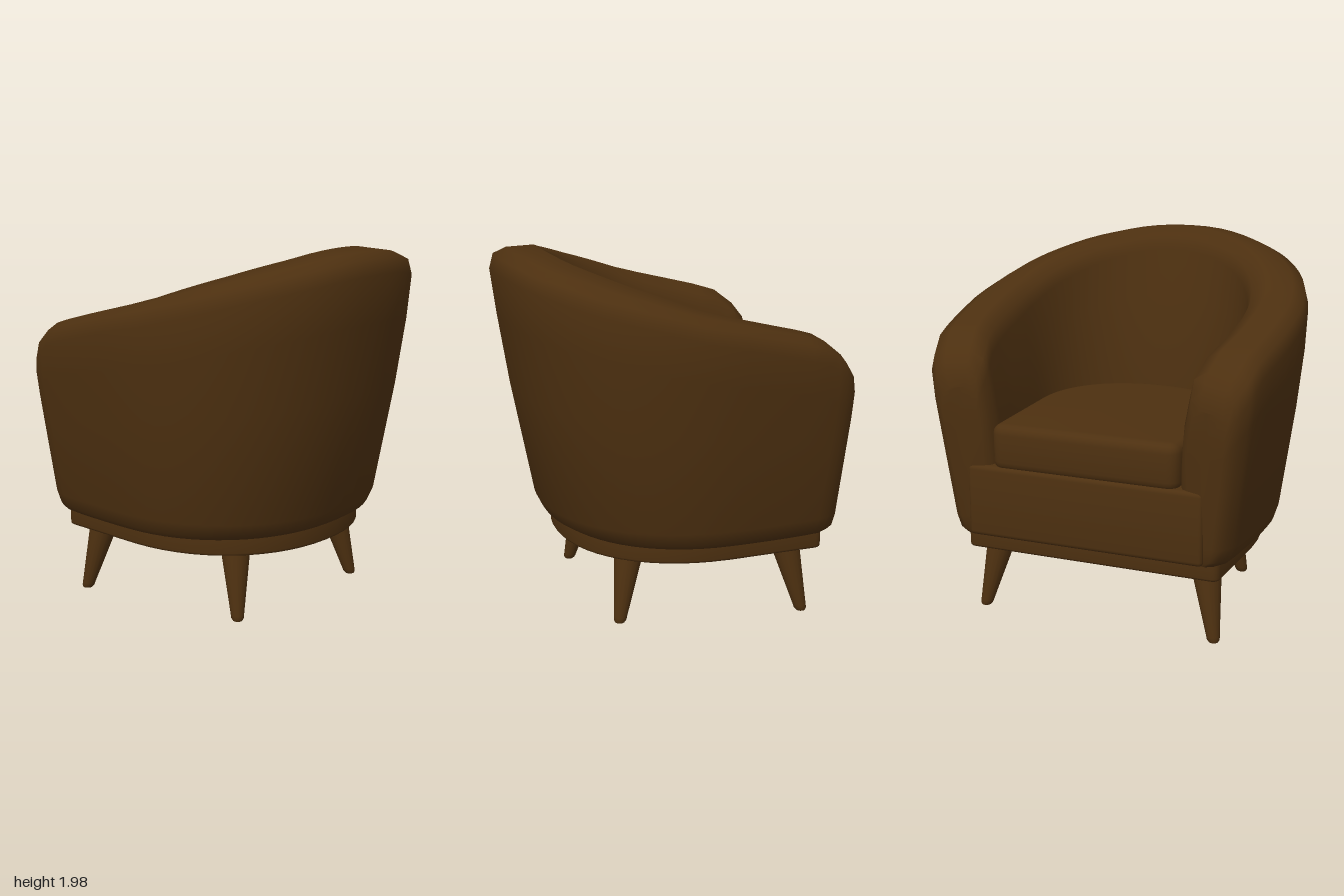
import * as THREE from 'three';
import { toCreasedNormals } from 'three/addons/utils/BufferGeometryUtils.js';

const XC = -0.2; // where the straight arms turn into the curved back
const lerp = THREE.MathUtils.lerp;

// Linear interpolation in a small table of [key, value] pairs
function interp(table, k) {
  if (k <= table[0][0]) return table[0][1];
  for (let i = 1; i < table.length; i++) {
    const [k0, v0] = table[i - 1], [k1, v1] = table[i];
    if (k <= k1) return lerp(v0, v1, (k - k0) / (k1 - k0));
  }
  return table[table.length - 1][1];
}

// Point on the rounded back: a slightly squared half ellipse, a = 0 at the side, PI/2 at the rear
function backPoint(a, xBack, halfWidth) {
  const p = 2 / 2.2;
  return [XC + (xBack - XC) * Math.sin(a) ** p, halfWidth * Math.max(0, Math.cos(a)) ** p];
}

// How the shell's plan changes with height
const OUT_BACK = [[0.47, 0.56], [0.5, 0.61], [0.57, 0.645], [1.37, 0.8], [1.88, 0.87]];
const OUT_HALF = [[0.47, 0.78], [0.5, 0.81], [0.57, 0.832], [1.25, 0.925], [1.55, 0.948]];
const IN_BACK = [[1.05, 0.34], [1.88, 0.53]];
const IN_HALF = [[1.05, 0.54], [1.5, 0.63]];
const FRONT = [[0.47, -0.8], [0.5, -0.815], [0.57, -0.825], [1.2, -0.872]];
const CREST = [[-0.85, 1.54], [-0.6, 1.585], [0, 1.735], [0.4, 1.865], [0.6, 1.94], [0.71, 2]];
// Rounding of the arm ends by distance from the front
const DROP = [[0, 0.24], [0.02, 0.15], [0.09, 0.075], [0.2, 0.01], [0.3, 0]];
const INSET = [[0, 0.075], [0.02, 0.04], [0.09, 0.004], [0.2, 0]];
const CROWN = [[0.06, -0.045], [0.26, -0.012], [0.7, 0], [0.94, -0.045]];

// Plan position of one wall of the shell at a station
function wallPoint(st, y, inner) {
  const xBack = interp(inner ? IN_BACK : OUT_BACK, y);
  const half = interp(inner ? IN_HALF : OUT_HALF, y);
  if (st.a !== undefined) return backPoint(st.a, xBack, half);
  const x = interp(FRONT, y) + (inner ? 0.03 * (1 - st.d / 0.66) : 0) + st.d;
  const k = Math.max(0, (XC - x) / 0.65);
  const inset = interp(INSET, st.d) * (inner ? 1 : -1);
  return [Math.min(x, XC), half * (1 - (inner ? 0.09 : 0.06) * k * k) + inset];
}

// Closed cross-section of the shell: up the outside, over the crown, down the inside
function section(st) {
  const mid = (wallPoint(st, 1.6, false)[0] + wallPoint(st, 1.6, true)[0]) / 2;
  const top = interp(CREST, mid + (st.a ? 0.03 * Math.sin(st.a) : 0)) -
    (st.a === undefined ? interp(DROP, st.d) : 0);
  const shoulder = top - 0.125;
  const levels = [0.47, 0.5, 0.57, lerp(0.57, shoulder, 0.5), lerp(0.57, shoulder, 0.8), shoulder];
  const wall = (inner) => levels.map((y) => {
    const [x, z] = wallPoint(st, y, inner);
    return [x, y, z];
  });
  const outer = wall(false), inner = wall(true).reverse();
  const o = outer[5], n = inner[0];
  const crown = CROWN.map(([f, dy]) => [lerp(o[0], n[0], f), top + dy, lerp(o[2], n[2], f)]);
  return [...outer, ...crown, ...inner];
}

function shellGeometry() {
  const stations = [0, 0.02, 0.05, 0.09, 0.14, 0.2, 0.3, 0.4, 0.52].map((d) => ({ d }));
  const steps = 16;
  for (let i = 0; i <= steps; i++) stations.push({ a: (i / steps) * Math.PI / 2 });
  const half = stations.map(section);
  // End cap: fold the first section onto its own middle line
  const first = half[0], n = first.length;
  half.unshift(first.map((p, j) => p.map((v, c) => (v + first[n - 1 - j][c]) / 2)));
  const other = half.slice(0, -1).reverse().map((s) => s.map(([x, y, z]) => [x, y, -z]));
  const rings = [...half, ...other];
  const index = [];
  for (let i = 0; i < rings.length - 1; i++) {
    for (let j = 0; j < n; j++) {
      const k = (j + 1) % n;
      const a = i * n + j, b = (i + 1) * n + j, c = (i + 1) * n + k, d = i * n + k;
      index.push(a, b, c, a, c, d);
    }
  }
  const geo = new THREE.BufferGeometry();
  geo.setAttribute('position', new THREE.Float32BufferAttribute(rings.flat(2), 3));
  geo.setIndex(index);
  return toCreasedNormals(geo, 0.95);
}

// D-shaped slab with rounded edges, straight side toward -x
function slab(xFront, xBack, halfWidth, frontHalf, y0, y1, r, corner) {
  const pts = [];
  for (let i = 0; i <= 4; i++) {
    const a = (i / 4) * Math.PI / 2;
    pts.push([xFront + corner * (1 - Math.sin(a)), frontHalf - corner * (1 - Math.cos(a))]);
  }
  pts.reverse();
  pts.sort((p, q) => p[0] - q[0]);
  for (let i = 0; i <= 14; i++) pts.push(backPoint((i / 14) * Math.PI / 2, xBack, halfWidth));
  const mirrored = pts.slice(0, -1).reverse().map(([x, z]) => [x, -z]);
  const shape = new THREE.Shape([...pts, ...mirrored].map(([x, z]) => new THREE.Vector2(x, z)));
  const geo = new THREE.ExtrudeGeometry(shape, {
    depth: y1 - y0 - 2 * r, bevelThickness: r, bevelSize: r, bevelOffset: -r, bevelSegments: 4,
  });
  geo.rotateX(-Math.PI / 2).translate(0, y0 + r, 0);
  return toCreasedNormals(geo, 0.7);
}

// Tapered leg leaning from its foot to its top
function legGeometry(foot, top) {
  const profile = [[0, 0], [0.026, 0], [0.034, 0.012], [0.036, 0.03], [0.08, 0.37], [0.08, 0.4]];
  const geo = new THREE.LatheGeometry(profile.map(([r, y]) => new THREE.Vector2(r, y)), 16);
  const pos = geo.attributes.position;
  for (let i = 0; i < pos.count; i++) {
    const t = pos.getY(i) / 0.37;
    pos.setX(i, pos.getX(i) + lerp(foot[0], top[0], t));
    pos.setZ(i, pos.getZ(i) + lerp(foot[1], top[1], t));
  }
  return toCreasedNormals(geo, 0.8);
}

export function createModel() {
  const model = new THREE.Group();
  model.name = 'tubArmchair';
  const brown = new THREE.MeshStandardMaterial({ color: 0x4d3010 });
  brown.name = 'darkBrown';
  const add = (name, geo) => {
    const mesh = new THREE.Mesh(geo, brown);
    mesh.name = name;
    model.add(mesh);
  };

  // Wraparound arms and back
  add('armsAndBack', shellGeometry());
  // Seat body with front panel, cushion and plinth
  add('seatBase', slab(-0.835, 0.45, 0.66, 0.66, 0.475, 0.87, 0.025, 0.02));
  add('seatCushion', slab(-0.83, 0.335, 0.54, 0.525, 0.85, 1.1, 0.05, 0.06));
  add('plinth', slab(-0.75, 0.555, 0.735, 0.72, 0.37, 0.5, 0.015, 0.04));

  // Four splayed legs
  for (const s of [1, -1]) {
    add('frontLeg', legGeometry([-0.655, s * 0.67], [-0.58, s * 0.6]));
    add('backLeg', legGeometry([0.345, s * 0.505], [0.27, s * 0.435]));
  }
  return model;
}
